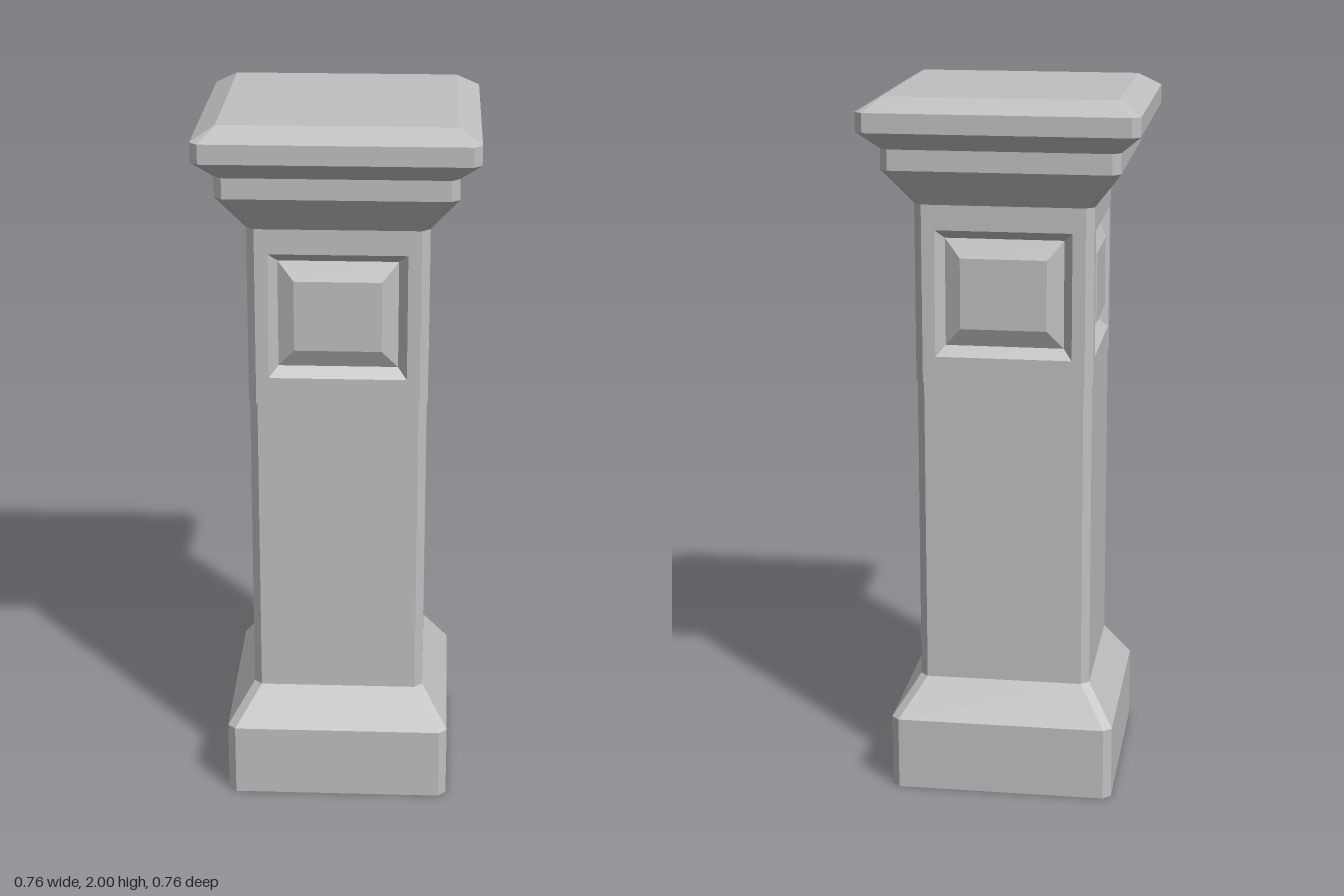
import * as THREE from 'three';

const stone = new THREE.MeshStandardMaterial({ color: 0xbfbfbf });
stone.name = 'grey stone';

// Mesh from a list of four-cornered faces, each counter-clockwise from outside
function facesMesh(name, quads) {
  const pos = [];
  for (const [a, b, c, d] of quads) pos.push(...a, ...b, ...c, ...a, ...c, ...d);
  const geo = new THREE.BufferGeometry();
  geo.setAttribute('position', new THREE.Float32BufferAttribute(pos, 3));
  geo.computeVertexNormals();
  const mesh = new THREE.Mesh(geo, stone);
  mesh.name = name;
  return mesh;
}

// Square section with cut corners: [height, half width, corner cut]
function section([y, h, c = 0.022]) {
  const k = h - c;
  return [[-k, h], [k, h], [h, k], [h, -k], [k, -h], [-k, -h], [-h, -k], [-h, k]]
    .map(([x, z]) => [x, y, z]);
}

// Faces between neighbouring loops of points
function bridge(loops, keep = () => true) {
  const quads = [];
  for (let j = 0; j + 1 < loops.length; j++) {
    const lo = loops[j], up = loops[j + 1], n = lo.length;
    for (let i = 0; i < n; i++) {
      const k = (i + 1) % n;
      if (keep(i)) quads.push([lo[i], lo[k], up[k], up[i]]);
    }
  }
  return quads;
}

// Closes an eight-sided section with three faces
const lid = (p) => [[p[0], p[1], p[2], p[7]], [p[7], p[2], p[3], p[6]], [p[6], p[3], p[4], p[5]]];

const HALF = 0.248, CUT = 0.022, NECK_LOW = 1.2, NECK_TOP = 1.7;

// One neck side: flat border, sunken frame and raised field
function neckPanel() {
  const flat = HALF - CUT;
  const rect = (x, y0, y1, z) => [[-x, y0, z], [x, y0, z], [x, y1, z], [-x, y1, z]];
  const loops = [
    rect(flat, NECK_LOW, NECK_TOP, HALF),
    rect(0.19, 1.275, 1.63, HALF),
    rect(0.165, 1.303, 1.605, HALF - 0.028),
    rect(0.12, 1.355, 1.553, HALF - 0.003),
  ];
  return facesMesh('neckPanel', [...bridge(loops), loops[3]]);
}

export function createModel() {
  const group = new THREE.Group();
  group.name = 'pillar';

  // Plinth and shaft
  const plinth = [[0, 0.319], [0.21, 0.319], [0.32, 0.245]].map(section);
  const underside = lid(plinth[0]).map((q) => [...q].reverse());
  group.add(facesMesh('plinth', [...bridge(plinth), ...underside]));
  const shaft = [[0.32, 0.245], [NECK_LOW, 0.245], [NECK_LOW, HALF]].map(section);
  group.add(facesMesh('shaft', bridge(shaft)));

  // Neck: cut corners and four panelled sides
  const neck = [[NECK_LOW, HALF], [NECK_TOP, HALF]].map(section);
  group.add(facesMesh('neckCorners', bridge(neck, (i) => i % 2 === 1)));
  for (let i = 0; i < 4; i++) {
    const panel = neckPanel();
    panel.rotation.y = (i * Math.PI) / 2;
    group.add(panel);
  }

  // Flared moulding and bevelled cap
  const moulding = [[NECK_TOP, HALF], [1.803, 0.325], [1.86, 0.325]].map(section);
  group.add(facesMesh('moulding', bridge(moulding)));
  const cap = [[1.86, 0.325], [1.91, 0.38], [1.963, 0.38], [2, 0.316, 0.002]].map(section);
  group.add(facesMesh('cap', [...bridge(cap), ...lid(cap[3])]));

  return group;
}
